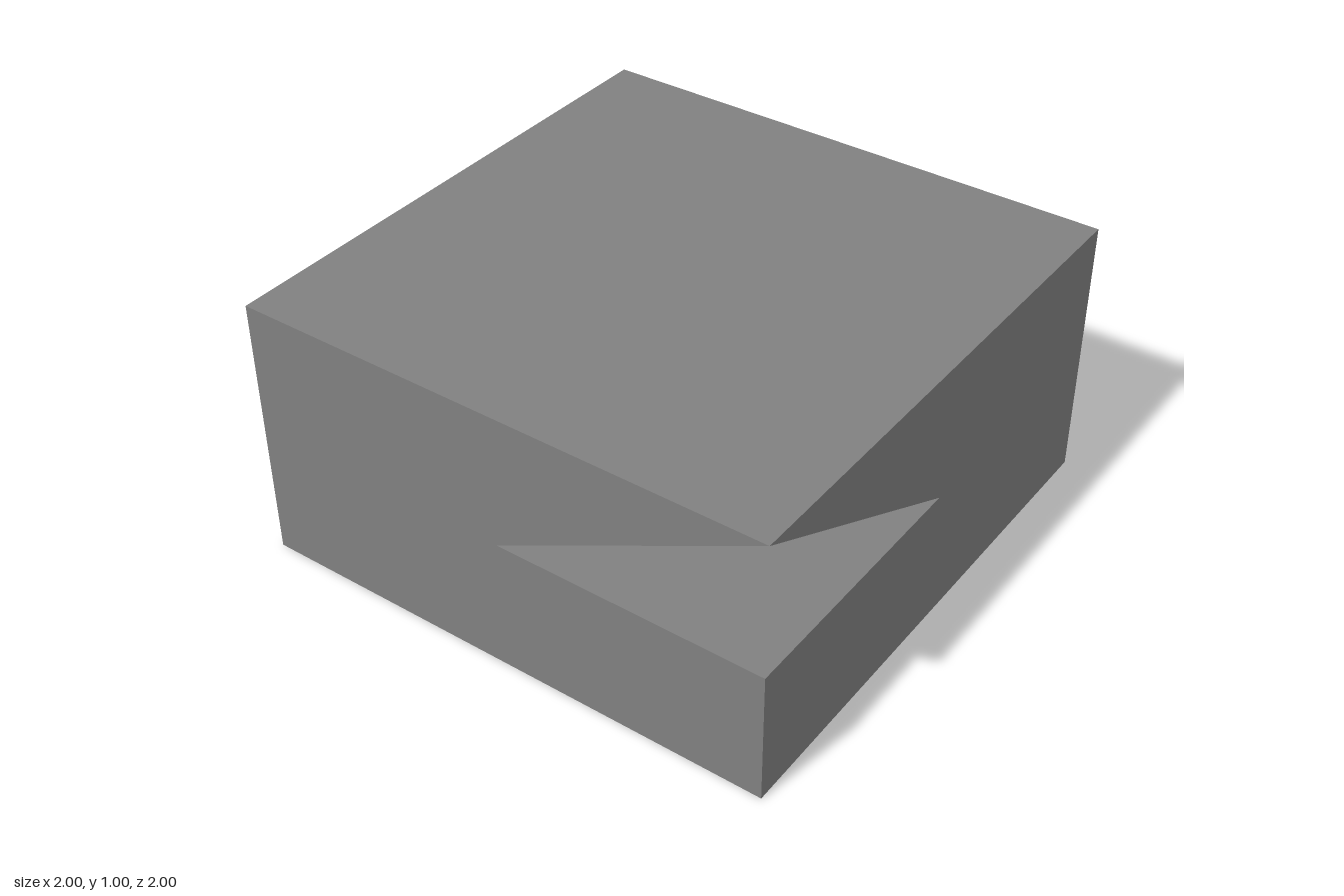
import * as THREE from 'three';

// Flat faces, each a list of corners (counter-clockwise from outside),
// fanned out from its first corner.
function facesMesh(name, faces) {
  const positions = [];
  for (const face of faces) {
    for (let i = 1; i < face.length - 1; i++) {
      positions.push(...face[0], ...face[i], ...face[i + 1]);
    }
  }
  const geometry = new THREE.BufferGeometry();
  geometry.setAttribute('position', new THREE.Float32BufferAttribute(positions, 3));
  geometry.computeVertexNormals();
  const material = new THREE.MeshStandardMaterial({ color: 0x808080, flatShading: true });
  const mesh = new THREE.Mesh(geometry, material);
  mesh.name = name;
  return mesh;
}

export function createModel() {
  const group = new THREE.Group();
  group.name = 'notchedBlock';

  // Block corners: bottom (b) and top (t), front/back, left (+x) / right (-x)
  const bFL = [1, 0, 1], bFR = [-1, 0, 1], bBL = [1, 0, -1], bBR = [-1, 0, -1];
  const tFL = [1, 1, 1], tFR = [-1, 1, 1], tBL = [1, 1, -1], tBR = [-1, 1, -1];

  // Notch floor corners at half height; the notch tapers up to tFL
  const nFront = [0, 0.5, 1], nCorner = [1, 0.5, 1], nSide = [1, 0.5, 0], nInner = [0, 0.5, 0];

  // Outer shell, with the front and left faces cut by the notch
  group.add(facesMesh('block', [
    [nFront, tFL, tFR, bFR, bFL, nCorner],
    [nSide, nCorner, bFL, bBL, tBL, tFL],
    [bBL, bBR, tBR, tBL],
    [bBR, bFR, tFR, tBR],
    [tFR, tFL, tBL, tBR],
    [bBR, bBL, bFL, bFR],
  ]));

  // Pyramid-shaped notch: floor and two overhanging slopes
  group.add(facesMesh('cornerNotch', [
    [nCorner, nSide, nInner, nFront],
    [nInner, nSide, tFL],
    [nFront, nInner, tFL],
  ]));

  return group;
}
